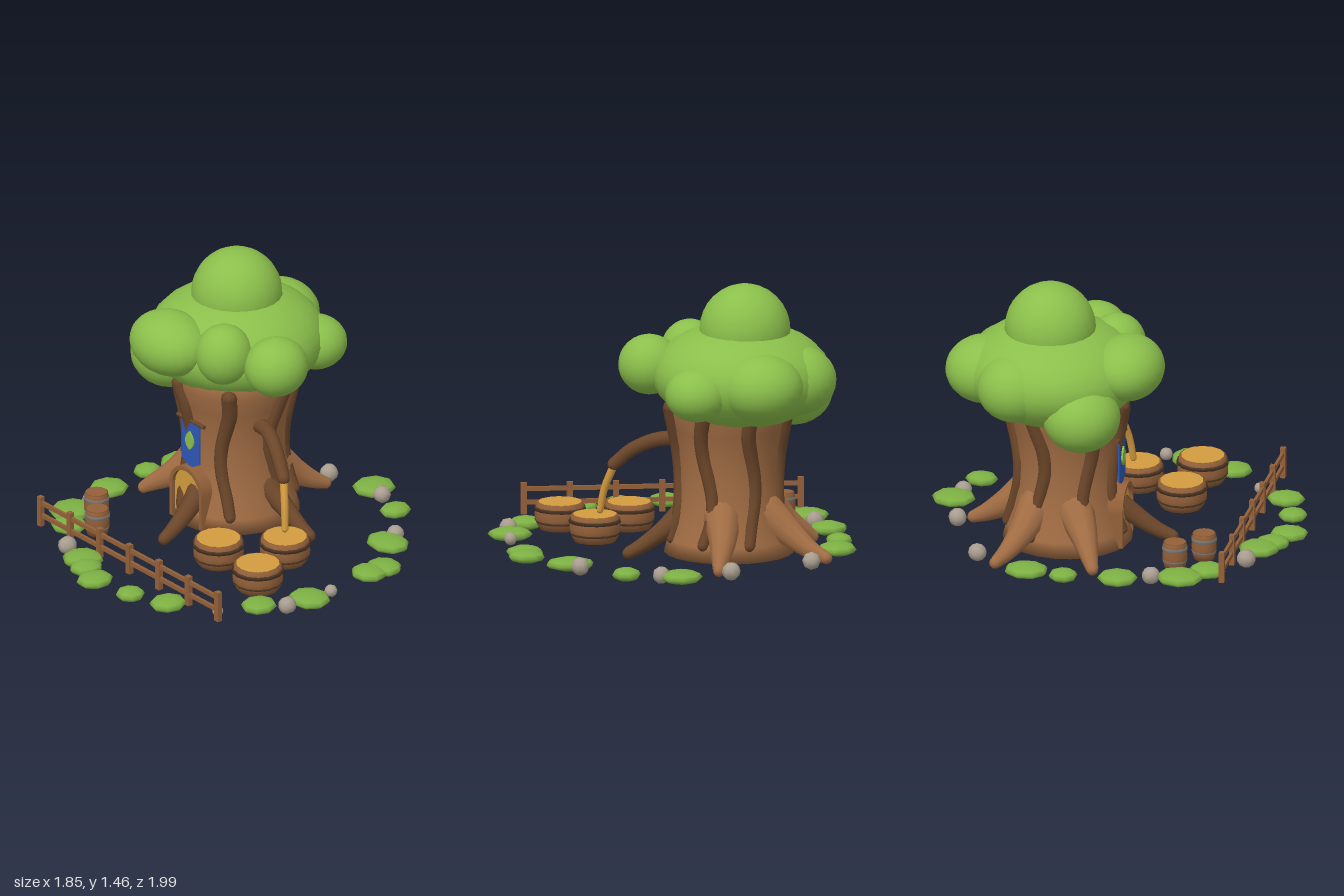
import * as THREE from 'three';

const mat = (name, color, side = THREE.FrontSide) => {
  const m = new THREE.MeshStandardMaterial({ color, side });
  m.name = name;
  return m;
};

export function createModel() {
  const root = new THREE.Group();
  root.name = 'treehouse';
  const M = {
    leaf: mat('leaf green', 0x8bbf4b),
    bush: mat('bush green', 0x7db043),
    bark: mat('bark brown', 0xa06c43),
    dark: mat('dark bark', 0x6b4629),
    wood: mat('plank brown', 0x936039),
    hoop: mat('hoop dark', 0x4a3524),
    gold: mat('honey gold', 0xd39b3e),
    blue: mat('banner blue', 0x2d58b4, THREE.DoubleSide),
    stone: mat('stone grey', 0xaa9f90),
    metal: mat('barrel hoop grey', 0x777672),
  };
  const group = (name, parent = root) => {
    const g = new THREE.Group();
    g.name = name;
    parent.add(g);
    return g;
  };
  const add = (parent, name, geo, material, x = 0, y = 0, z = 0) => {
    const m = new THREE.Mesh(geo, material);
    m.name = name;
    m.position.set(x, y, z);
    parent.add(m);
    return m;
  };
  const V = (x, y, z) => new THREE.Vector3(x, y, z);

  // Tube whose radius runs from r0 to r1, with rounded ends
  const limb = (parent, name, pts, r0, r1, material, seg = 14, sides = 10) => {
    const path = new THREE.CatmullRomCurve3(pts);
    const geo = new THREE.TubeGeometry(path, seg, 1, sides);
    const p = geo.attributes.position, v = V(0, 0, 0);
    for (let i = 0; i <= seg; i++) {
      const c = path.getPointAt(i / seg), r = r0 + (r1 - r0) * i / seg;
      for (let j = 0; j <= sides; j++) {
        const k = i * (sides + 1) + j;
        v.fromBufferAttribute(p, k).sub(c).multiplyScalar(r).add(c);
        p.setXYZ(k, v.x, v.y, v.z);
      }
    }
    geo.computeBoundingSphere();
    add(parent, name, geo, material);
    [[pts[0], r0], [pts[pts.length - 1], r1]].forEach(([e, r]) => {
      add(parent, name + 'End', new THREE.SphereGeometry(r, sides, 6), material, e.x, e.y, e.z)
        .scale.setScalar(0.97);
    });
  };

  // Trunk
  const CX = -0.28, CZ = -0.22;
  const profile = [[0.335, 0.045], [0.315, 0.12], [0.285, 0.22], [0.262, 0.35], [0.257, 0.48],
    [0.268, 0.6], [0.29, 0.7], [0.32, 0.8], [0.32, 0.9]];
  const tree = group('tree');
  const trunkPts = [[0, 0.045], ...profile, [0, 0.9]].map(([r, y]) => new THREE.Vector2(r, y));
  add(tree, 'trunk', new THREE.LatheGeometry(trunkPts, 24), M.bark, CX, 0, CZ);
  const trunkRadius = (y) => {
    for (let i = 1; i < profile.length; i++) {
      const [r0, y0] = profile[i - 1], [r1, y1] = profile[i];
      if (y <= y1) return r0 + (r1 - r0) * (y - y0) / (y1 - y0);
    }
    return 0.32;
  };
  const around = (deg, r, y) => {
    const a = deg * Math.PI / 180;
    return V(CX + Math.sin(a) * r, y, CZ + Math.cos(a) * r);
  };

  // Bark ribs that sway gently on their way down
  [-14, 40, 98, 150, 200, 250, 305].forEach((deg, i) => {
    const pts = [];
    for (let k = 0; k <= 6; k++) {
      const y = 0.82 - k * 0.115;
      pts.push(around(deg + 6 * Math.sin(k * 1.1 + i), trunkRadius(y) - 0.004, y));
    }
    limb(tree, 'barkRib', pts, 0.042, 0.03, M.dark, 16, 8);
  });

  // Roots
  [[8, 0.57, M.dark], [97, 0.56, M.dark], [169, 0.56, M.bark], [240, 0.58, M.bark], [297, 0.54, M.bark]]
    .forEach(([deg, reach, m]) => {
      const slim = m === M.dark ? 0.065 : 0.1;
      limb(tree, 'root', [around(deg - 4, 0.22, 0.27), around(deg, 0.34, 0.17),
        around(deg, 0.46, 0.09), around(deg, reach - 0.03, 0.055)], slim, 0.032, m);
    });

  // Canopy: x, y, z, rx, ry, rz
  [[-0.34, 0.985, -0.28, 0.46, 0.27, 0.46], [-0.355, 1.22, -0.295, 0.235, 0.24, 0.235],
    [-0.39, 1.05, 0.12, 0.235, 0.165, 0.19], [-0.1, 1.055, 0, 0.15, 0.16, 0.15],
    [0.125, 1.02, -0.16, 0.16, 0.155, 0.168], [-0.625, 0.85, -0.07, 0.205, 0.18, 0.2],
    [-0.61, 0.98, -0.42, 0.205, 0.18, 0.2], [-0.41, 0.985, -0.62, 0.215, 0.175, 0.21],
    [-0.08, 0.95, -0.59, 0.165, 0.14, 0.165]].forEach(([x, y, z, a, b, c]) => {
    add(tree, 'foliage', new THREE.SphereGeometry(1, 24, 16), M.leaf, x, y, z).scale.set(a, b, c);
  });

  // Branch spout and pouring honey
  limb(tree, 'spoutBranch', [V(-0.1, 0.62, -0.18), V(0.06, 0.625, -0.155), V(0.2, 0.565, -0.105),
    V(0.3, 0.475, -0.065)], 0.042, 0.033, M.dark);
  limb(tree, 'honeyStream', [V(0.3, 0.465, -0.065), V(0.345, 0.34, -0.035), V(0.365, 0.225, -0.02)],
    0.021, 0.018, M.gold, 8, 8);

  // Arched door with frame
  const arch = (w, top) => {
    const s = new THREE.Shape();
    s.moveTo(-w, 0.05);
    s.lineTo(w, 0.05);
    s.lineTo(w, top - w);
    s.absarc(0, top - w, w, 0, Math.PI, false);
    s.lineTo(-w, 0.05);
    return s;
  };
  const extrude = (s, depth) =>
    new THREE.ExtrudeGeometry(s, { depth, bevelEnabled: false, curveSegments: 12 });
  const frame = arch(0.13, 0.365);
  frame.holes.push(arch(0.108, 0.343));
  add(tree, 'doorFrame', extrude(frame, 0.2), M.wood, -0.29, 0, -0.1);
  add(tree, 'door', extrude(arch(0.11, 0.345), 0.18), M.gold, -0.29, 0, -0.1);

  // Banner with rod and leaf emblem
  const banner = group('banner', tree);
  const cloth = new THREE.Shape([[-0.072, 0.62], [-0.072, 0.395], [0, 0.355], [0.072, 0.395], [0.072, 0.62]]
    .map(([x, y]) => new THREE.Vector2(x, y)));
  add(banner, 'cloth', extrude(cloth, 0.008), M.blue, -0.288, 0, 0.062);
  add(banner, 'rod', new THREE.CylinderGeometry(0.011, 0.011, 0.215, 8), M.dark, -0.292, 0.62, 0.062)
    .rotation.z = Math.PI / 2;
  const leaf = new THREE.Shape();
  leaf.moveTo(0, 0.055);
  leaf.quadraticCurveTo(0.065, -0.005, 0, -0.05);
  leaf.quadraticCurveTo(-0.065, -0.005, 0, 0.055);
  add(banner, 'leafEmblem', extrude(leaf, 0.009), M.leaf, -0.288, 0.51, 0.07);

  // Bulging casks: honey tubs and small barrels
  const cask = (name, x, z, r, h, hoopMat, topMat) => {
    const g = group(name);
    g.position.set(x, 0.06, z);
    const lathe = (pts) => new THREE.LatheGeometry(pts.map(([a, b]) => new THREE.Vector2(a * r, b * h)), 14);
    add(g, 'staves', lathe([[0, 0], [0.8, 0], [0.94, 0.25], [0.99, 0.5], [0.96, 0.78], [0.9, 1],
      [0.8, 1], [0.8, 0.9], [0, 0.9]]), M.wood);
    add(g, 'lid', new THREE.CylinderGeometry(r * 0.84, r * 0.84, 0.008, 14), topMat, 0, h * 0.99, 0);
    [[0.9, 0.22, 0.97, 0.34], [1, 0.72, 0.965, 0.84]].forEach(([a, b, c, d]) =>
      add(g, 'hoop', lathe([[a - 0.1, b], [a + 0.02, b], [c + 0.02, d], [c - 0.1, d]]), hoopMat));
  };
  [[0.39, 0], [0.187, 0.275], [0.54, 0.305]].forEach(([x, z]) =>
    cask('honeyTub', x, z, 0.134, 0.14, M.hoop, M.gold));
  [[-0.62, 0.42], [-0.47, 0.54]].forEach(([x, z]) =>
    cask('barrel', x, z, 0.066, 0.14, M.metal, M.wood));

  // Fence
  const fence = group('fence');
  for (let i = 0; i < 7; i++) {
    add(fence, 'post', new THREE.BoxGeometry(0.03, 0.165, 0.027), M.wood, -0.738 + i * 0.238, 0.133, 0.694);
  }
  [0.182, 0.112].forEach((y) =>
    add(fence, 'rail', new THREE.BoxGeometry(1.43, 0.023, 0.015), M.wood, -0.024, y, 0.694));

  // Low bushes: x, z, rx, rz
  const bushes = group('bushes');
  [[0.03, -0.89, 0.11, 0.115], [0.305, -0.805, 0.075, 0.085], [0.57, -0.535, 0.127, 0.1],
    [0.775, -0.34, 0.097, 0.09], [0.775, -0.24, 0.097, 0.09], [0.81, 0.185, 0.116, 0.105],
    [0.705, 0.435, 0.09, 0.095], [0.388, 0.778, 0.09, 0.1], [0.183, 0.86, 0.075, 0.075],
    [-0.06, 0.895, 0.087, 0.1], [-0.197, 0.84, 0.082, 0.09], [-0.285, 0.788, 0.108, 0.108],
    [-0.63, 0.595, 0.095, 0.095], [-0.752, 0.475, 0.113, 0.125], [-0.83, 0.165, 0.1, 0.105],
    [-0.858, -0.115, 0.07, 0.075], [-0.83, -0.315, 0.1, 0.115]].forEach(([x, z, a, b], i) => {
    const geo = new THREE.SphereGeometry(1, 8, 6).rotateY(i * 1.7);
    add(bushes, 'bush', geo, M.bush, x, 0.063, z).scale.set(a, 0.034, b);
  });

  // Rocks: x, z, radius
  const rocks = group('rocks');
  [[-0.235, -0.81, 0.048], [0.13, -0.862, 0.046], [-0.668, -0.608, 0.048], [0.525, -0.622, 0.047],
    [0.82, 0.05, 0.034], [0.805, 0.328, 0.047], [0.572, 0.598, 0.029], [-0.775, 0.328, 0.047],
    [-0.447, 0.757, 0.049]].forEach(([x, z, r], i) => {
    const y = r < 0.03 ? 0.03 : 0.068;
    add(rocks, 'rock', new THREE.SphereGeometry(r, 8, 6), M.stone, x, y, z).rotation.set(i, i * 2, 0);
  });
  return root;
}
